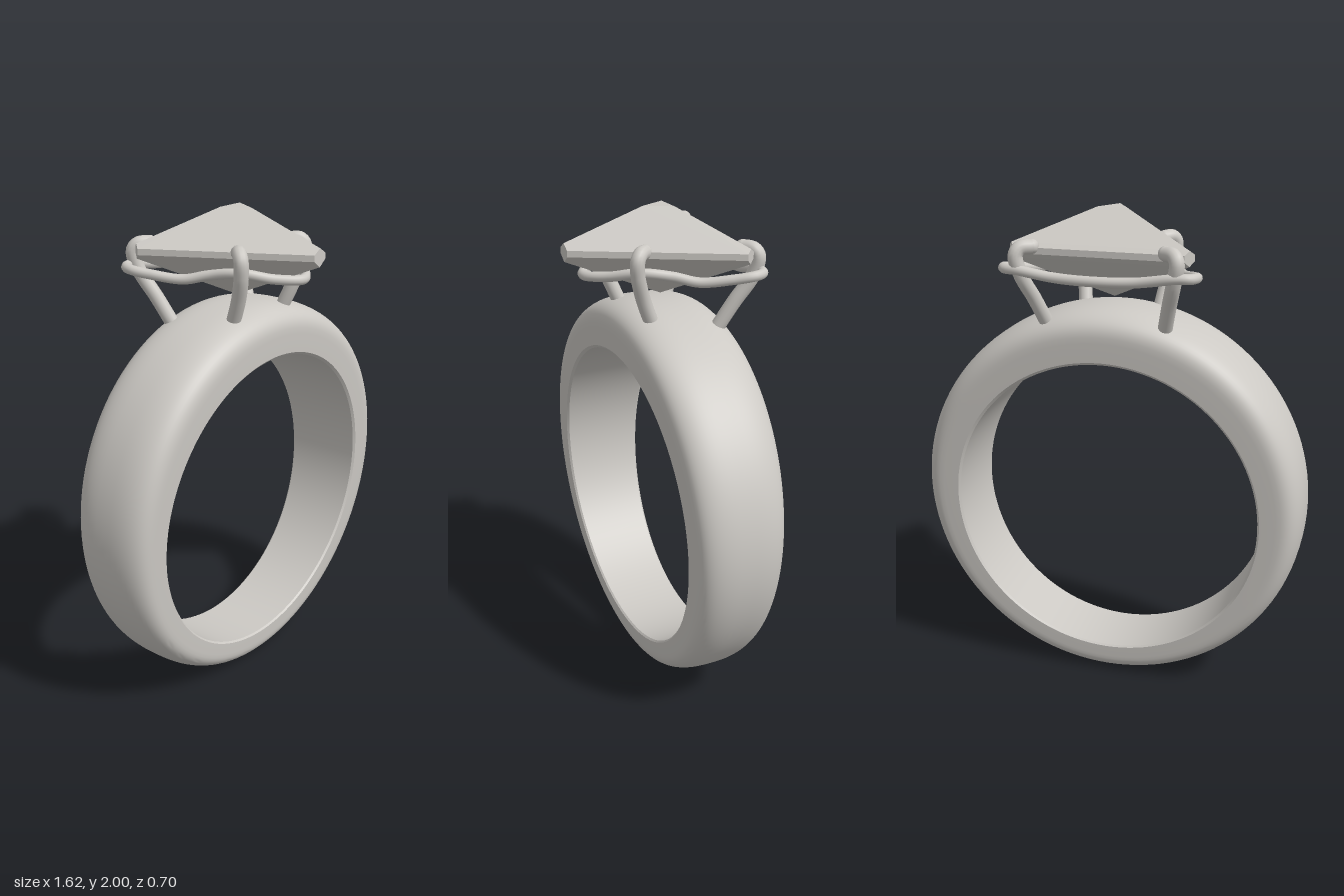
import * as THREE from 'three';
import { toCreasedNormals } from 'three/addons/utils/BufferGeometryUtils.js';
import { ConvexGeometry } from 'three/addons/geometries/ConvexGeometry.js';

const CENTRE_Z = -0.055;
const vec = (p) => new THREE.Vector3(...p);
const mirrored = ([x, y, z]) => [-x, y, z];

// Band: domed section swept between an inner and an offset outer circle,
// so it is thicker and wider at the top.
function bandGeometry() {
  const section = [[0, 0.95], [0.05, 1]]; // [radial 0..1, half-width -1..1]
  const steps = 28;
  for (let i = 0; i <= steps; i++) {
    const a = (i / steps) * Math.PI;
    const c = Math.cos(a);
    section.push([
      0.42 + 0.58 * Math.pow(Math.max(0, Math.sin(a)), 0.74),
      Math.sign(c) * Math.pow(Math.abs(c), 0.74),
    ]);
  }
  section.push([0.05, -1], [0, -0.95]);

  const around = 120, n = section.length;
  const positions = [], index = [];
  for (let i = 0; i < around; i++) {
    const a = (i / around) * Math.PI * 2;
    const s = Math.sin(a), c = Math.cos(a);
    for (const [t, w] of section) {
      const r = THREE.MathUtils.lerp(0.64, 0.811, t);
      const y = THREE.MathUtils.lerp(0.77, 0.811, t) + r * c;
      positions.push(r * s, y, CENTRE_Z + w * (0.143 + 0.044 * y));
    }
    for (let j = 0; j < n; j++) {
      const p = i * n + j, ds = i * n + ((j + 1) % n);
      const next = ((i + 1) % around) * n;
      const da = next + j, dd = next + ((j + 1) % n);
      index.push(p, da, ds, da, dd, ds);
    }
  }
  const geometry = new THREE.BufferGeometry();
  geometry.setAttribute('position', new THREE.Float32BufferAttribute(positions, 3));
  geometry.setIndex(index);
  return toCreasedNormals(geometry, 0.6);
}

// Stone: triangular cut with clipped corners, a small table and a pointed base.
function stoneGeometry() {
  const points = [[0, 2, 0.019], [0, 1.645, -0.058]];
  points.push([0, 1.887, 0.348], [0, 1.814, 0.348]); // front ridge ends
  const half = [[0.06, 2, -0.09], [0.35, 1.88, -0.27], [0.35, 1.821, -0.27]];
  for (const y of [1.84, 1.865]) {
    half.push([0.035, y, 0.348], [0.365, y, -0.25], [0.335, y, -0.29]);
  }
  points.push(...half, ...half.map(mirrored));
  return new ConvexGeometry(points.map(vec));
}

export function createModel() {
  const model = new THREE.Group();
  model.name = 'ring';
  const metal = new THREE.MeshStandardMaterial({ color: 0xccc9c4 });
  metal.name = 'pale grey';

  const add = (parent, name, geometry) => {
    const mesh = new THREE.Mesh(geometry, metal);
    mesh.name = name;
    parent.add(mesh);
    return mesh;
  };
  const wire = (points, radius, closed, segments) =>
    new THREE.TubeGeometry(
      new THREE.CatmullRomCurve3(points.map(vec), closed), segments, radius, 14, closed);

  add(model, 'band', bandGeometry());
  add(model, 'stone', stoneGeometry());

  // Four claws, bent inward over the stone's edge
  const claws = {
    frontClaw: [
      [0.155, 1.56, 0.045], [0.175, 1.68, 0.095], [0.198, 1.78, 0.127],
      [0.203, 1.84, 0.13], [0.19, 1.863, 0.112], [0.165, 1.862, 0.085],
    ],
    backClaw: [
      [0.235, 1.53, -0.18], [0.27, 1.66, -0.25], [0.3, 1.76, -0.308],
      [0.315, 1.84, -0.323], [0.3, 1.865, -0.31], [0.262, 1.868, -0.283],
    ],
  };
  for (const [name, path] of Object.entries(claws)) {
    for (const [side, points] of [['Left', path], ['Right', path.map(mirrored)]]) {
      const claw = new THREE.Group();
      claw.name = name + side;
      model.add(claw);
      add(claw, 'clawWire', wire(points, 0.029, false, 40));
      add(claw, 'clawTip', new THREE.SphereGeometry(0.029, 14, 10))
        .position.set(...points[points.length - 1]);
    }
  }

  // Wavy rail joining the claws below the stone's edge
  const rail = [
    [0.1, 1.765, 0.205], [0.19, 1.79, 0.115], [0.235, 1.775, 0],
    [0.285, 1.755, -0.09], [0.35, 1.77, -0.2], [0.38, 1.782, -0.27],
    [0.365, 1.785, -0.315], [0.31, 1.785, -0.332], [0.16, 1.762, -0.325],
  ];
  add(model, 'rail', wire(
    [[0, 1.755, 0.27], ...rail, [0, 1.757, -0.33], ...rail.map(mirrored).reverse()],
    0.02, true, 160));

  return model;
}
